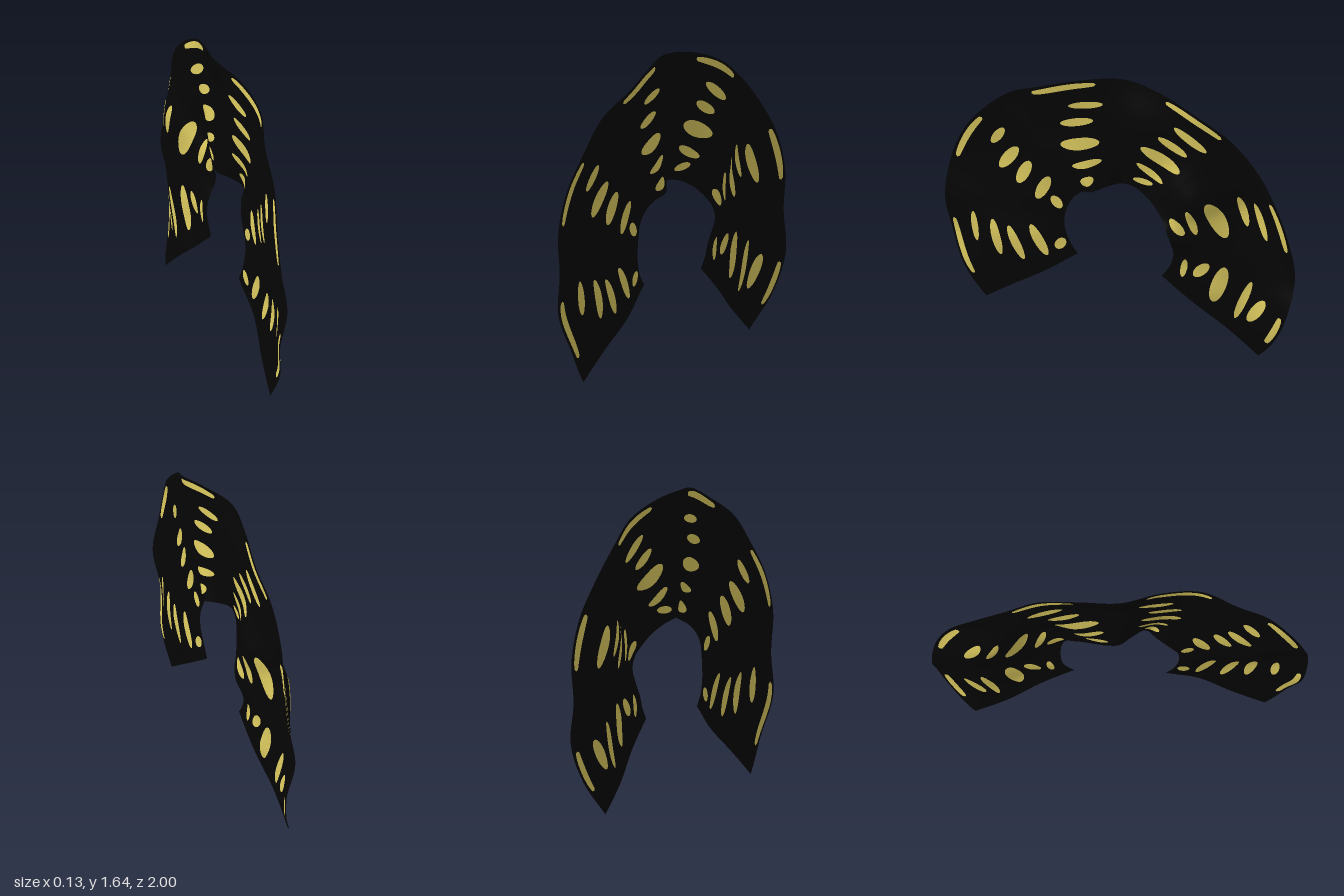
import * as THREE from 'three';
import { ParametricGeometry } from 'three/addons/geometries/ParametricGeometry.js';

const CENTER_Y = 0.64, INNER = 0.315, OUTER = 1, RAD = Math.PI / 180;
const START = -39.8, END = 219.8;

// Sideways ripple on four rings, hole to rim, every 13 degrees from the front tip over the top to the back tip
const rings = [
  [-.01, -.01, -.005, 0, 0, -.005, 0, .02, .055, .015, -.035, -.035, -.015, .01, .035, .06, .06, .035, .015, .015, .015],
  [.01, .015, .015, 0, 0, 0, .01, .025, .035, .01, -.02, -.015, -.01, .035, .055, .015, 0, 0, 0, .01, 0],
  [-.015, .005, .01, -.01, -.03, -.035, -.01, .01, .025, 0, -.015, 0, 0, 0, -.025, -.065, -.05, -.03, -.03, -.025, -.035],
  [-.03, -.02, -.05, -.02, -.045, -.04, -.012, -.005, .04, .01, -.05, -.03, 0, -.01, .005, .035, .04, .015, .05, .02, -.045],
];

// Smooth interpolation along a list; f counts in list steps
function sample(list, f) {
  const last = list.length - 1;
  const i = THREE.MathUtils.clamp(Math.floor(f), 0, last - 1);
  const t = THREE.MathUtils.clamp(f - i, 0, 1);
  const p = k => list[THREE.MathUtils.clamp(i + k, 0, last)];
  const m0 = (p(1) - p(-1)) / 2, m1 = (p(2) - p(0)) / 2, d = p(1) - p(0);
  return p(0) + t * (m0 + t * (3 * d - 2 * m0 - m1 + t * (m0 + m1 - 2 * d)));
}

// Point on the rippled sheet from radius and angle (0 = front, 90 = top)
function sheetPoint(r, deg, offset, target) {
  const across = rings.map(ring => sample(ring, (deg + 40) / 13));
  const x = sample(across, 3 * (r - INNER) / (OUTER - INNER));
  target.set(x + offset, CENTER_Y + r * Math.sin(deg * RAD), r * Math.cos(deg * RAD));
}

// Spots across the band: z, y, length, width, tilt in degrees (seen from +x)
const spots = [
  // front of top
  [.193, 1.455, .19, .045, 12], [.24, 1.337, .185, .05, 15], [.22, 1.203, .22, .075, 15], [.177, 1.085, .17, .045, 22], [.171, .98, .09, .055, 40],
  // back of top
  [-.4, 1.375, .22, .055, -33], [-.3, 1.305, .185, .055, -27], [-.23, 1.198, .25, .085, -22], [-.166, 1.085, .175, .05, -27], [-.123, 1.01, .12, .04, 5],
  // upper front
  [.7, 1.1, .155, .05, 60], [.636, .973, .21, .065, 58], [.545, .909, .185, .065, 66], [.433, .84, .185, .062, 66], [.358, .76, .085, .06, -55],
  // upper back
  [-.786, .904, .235, .052, -72], [-.68, .936, .195, .045, -75], [-.55, .877, .25, .085, -68], [-.422, .856, .17, .045, -75], [-.342, .813, .12, .06, -50],
  // lower front
  [.824, .47, .19, .043, -83], [.695, .444, .225, .055, -77], [.583, .439, .22, .055, -66], [.455, .487, .205, .06, -62], [.337, .487, .085, .055, 60],
  // lower back
  [-.77, .321, .2, .062, 58], [-.69, .364, .28, .045, 70], [-.561, .45, .25, .08, 74], [-.465, .53, .125, .06, 50], [-.369, .524, .125, .037, 80],
];

// Long spots following the rim: start and end angle
const rimSpots = [[59.5, 81.7], [105, 126.4], [14.2, 35.5], [152.6, 171], [-30.8, -10], [197.2, 211.7]];

export function createModel() {
  const group = new THREE.Group();
  group.name = 'rippledBand';
  const black = new THREE.MeshStandardMaterial({ color: 0x050505, side: THREE.DoubleSide });
  black.name = 'black';
  const gold = new THREE.MeshStandardMaterial({ color: 0xdecc60, side: THREE.DoubleSide });
  gold.name = 'gold';

  const add = (name, material, slices, stacks, fn) => {
    const mesh = new THREE.Mesh(new ParametricGeometry(fn, slices, stacks), material);
    mesh.name = name;
    group.add(mesh);
  };

  // Open ring-shaped sheet
  add('sheet', black, 200, 36, (u, v, p) =>
    sheetPoint(INNER + (OUTER - INNER) * v, START + (END - START) * u, 0, p));

  // Gold markings on both faces
  for (const offset of [-0.003, 0.003]) {
    for (const [z, y, length, width, tilt] of spots) {
      const c = Math.cos(tilt * RAD), s = Math.sin(tilt * RAD);
      add('spot', gold, 5, 24, (u, v, p) => {
        const a = u * length / 2 * Math.cos(v * 2 * Math.PI);
        const b = u * width / 2 * Math.sin(v * 2 * Math.PI);
        const pz = z - (a * c - b * s), py = y + a * s + b * c - CENTER_Y;
        let deg = Math.atan2(py, pz) / RAD;
        if (deg < -90) deg += 360;
        sheetPoint(Math.hypot(pz, py), deg, offset, p);
      });
    }
    for (const [from, to] of rimSpots) {
      add('rimSpot', gold, 36, 3, (u, v, p) => {
        const half = 0.018 * Math.pow(Math.max(0, Math.sin(Math.PI * u)), 0.2);
        sheetPoint(0.968 + half * (2 * v - 1), from + (to - from) * u, offset, p);
      });
    }
  }
  return group;
}
